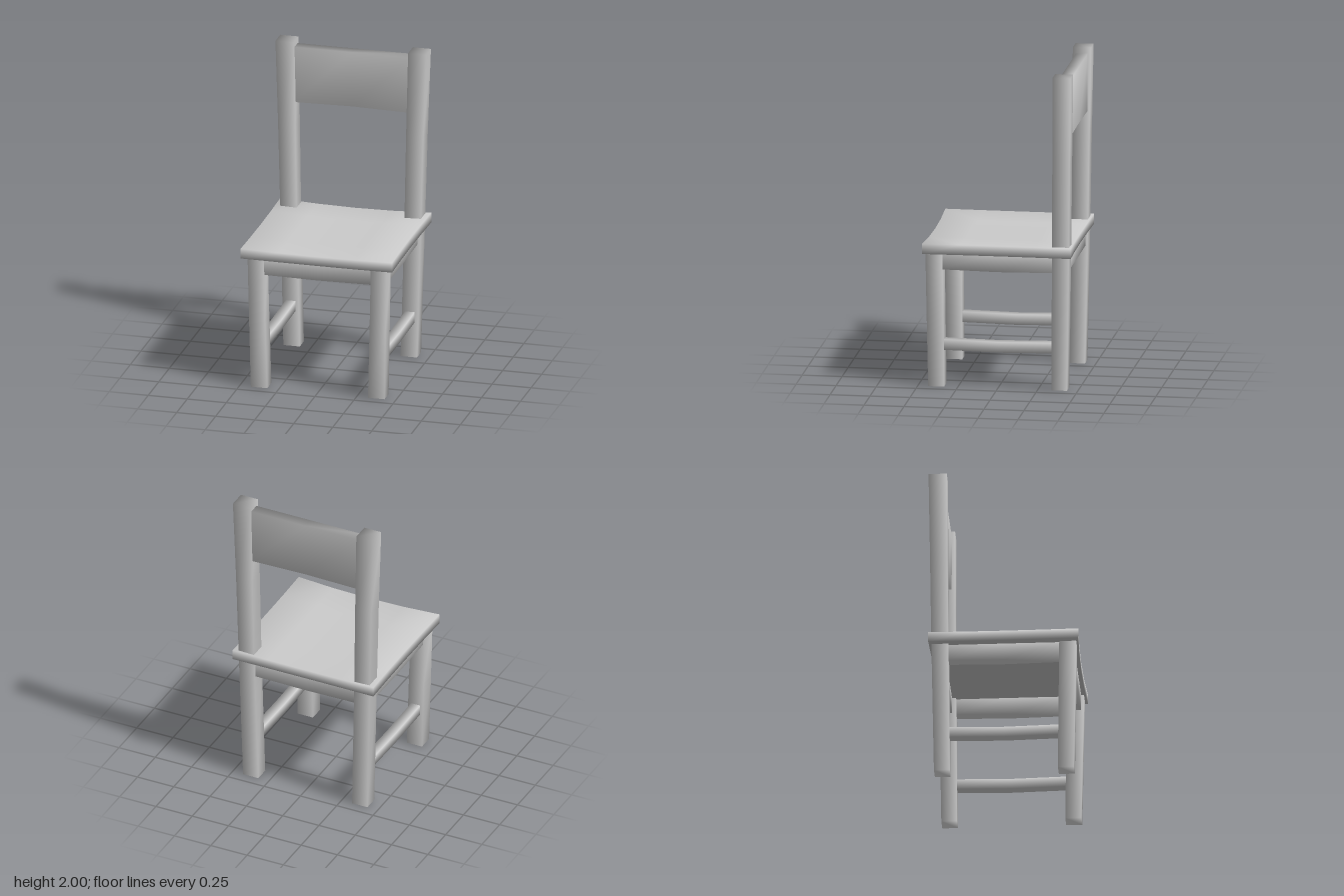
import * as THREE from 'three';
import { mergeVertices } from 'three/addons/utils/BufferGeometryUtils.js';

const material = new THREE.MeshStandardMaterial({ color: 0xcccccc });

// Subdivided box with soft shared normals; bend(v) moves each vertex.
function softBox(name, [w, h, d], [sx, sy, sz], bend) {
  let geo = new THREE.BoxGeometry(w, h, d, sx, sy, sz);
  geo.deleteAttribute('normal');
  geo.deleteAttribute('uv');
  geo = mergeVertices(geo);
  const p = geo.attributes.position;
  const v = new THREE.Vector3();
  for (let i = 0; i < p.count; i++) {
    v.fromBufferAttribute(p, i);
    bend(v);
    p.setXYZ(i, v.x, v.y, v.z);
  }
  geo.computeVertexNormals();
  const mesh = new THREE.Mesh(geo, material);
  mesh.name = name;
  return mesh;
}

// Upright post; each level is [y, xInner, xOuter, zBack, zFront].
function post(name, side, levels) {
  const n = levels.length - 1;
  return softBox(name, [1, 1, 1], [1, n, 1], (v) => {
    const [y, xi, xo, zb, zf] = levels[Math.round((v.y + 0.5) * n)];
    const outer = v.x * side > 0;
    v.set(side * (outer ? xo : xi), y, v.z > 0 ? zf : zb);
  });
}

export function createModel() {
  const chair = new THREE.Group();
  chair.name = 'chair';

  // Seat: slightly dished slab with gently hollowed edges
  chair.add(softBox('seat', [0.97, 0.064, 0.93], [4, 1, 4], (v) => {
    const u = v.x / 0.485, t = v.z / 0.465;
    const dip = 0.011 * (1 - u * u);
    v.y += 0.883 - (v.y > 0 ? dip : dip * 0.6);
    v.x -= 0.006 * u * (1 - t * t);
    v.z -= 0.011 * t * (1 - u * u);
  }));

  for (const side of [-1, 1]) {
    const label = side > 0 ? 'left' : 'right';
    // Legs lean outwards; the rear ones run up to carry the backrest
    chair.add(post(label + 'FrontLeg', side, [
      [0, 0.323, 0.428, 0.335, 0.435],
      [0.45, 0.335, 0.437, 0.34, 0.443],
      [0.87, 0.345, 0.445, 0.345, 0.45],
    ]));
    chair.add(post(label + 'RearPost', side, [
      [0, 0.323, 0.428, -0.433, -0.335],
      [0.88, 0.345, 0.45, -0.448, -0.343],
      [1.45, 0.355, 0.465, -0.455, -0.347],
      [1.995, 0.367, 0.483, -0.463, -0.35],
    ]));
    // Side apron and low stretcher
    chair.add(softBox(label + 'Apron', [0.065, 0.12, 0.72], [1, 1, 2], (v) => {
      v.x += side * 0.397;
      v.y += 0.805 - (Math.abs(v.z) < 0.01 ? 0.006 : 0);
    }));
    chair.add(softBox(label + 'Stretcher', [0.062, 0.066, 0.72], [1, 1, 2], (v) => {
      v.x += side * 0.382;
      v.y += 0.264 - (Math.abs(v.z) < 0.01 ? 0.007 : 0);
    }));
  }

  // Front and rear aprons
  for (const [name, z] of [['frontApron', 0.4], ['rearApron', -0.4]]) {
    chair.add(softBox(name, [0.72, 0.12, 0.065], [2, 1, 1], (v) => {
      v.y += 0.805 - (Math.abs(v.x) < 0.01 ? 0.004 : 0);
      v.z += z;
    }));
  }

  // Backrest panel
  chair.add(softBox('backrest', [0.75, 0.363, 0.073], [2, 1, 1], (v) => {
    const mid = Math.abs(v.x) < 0.01;
    v.y += 1.777 + (mid && v.y < 0 ? 0.007 : 0);
    v.z -= 0.407;
  }));

  return chair;
}
